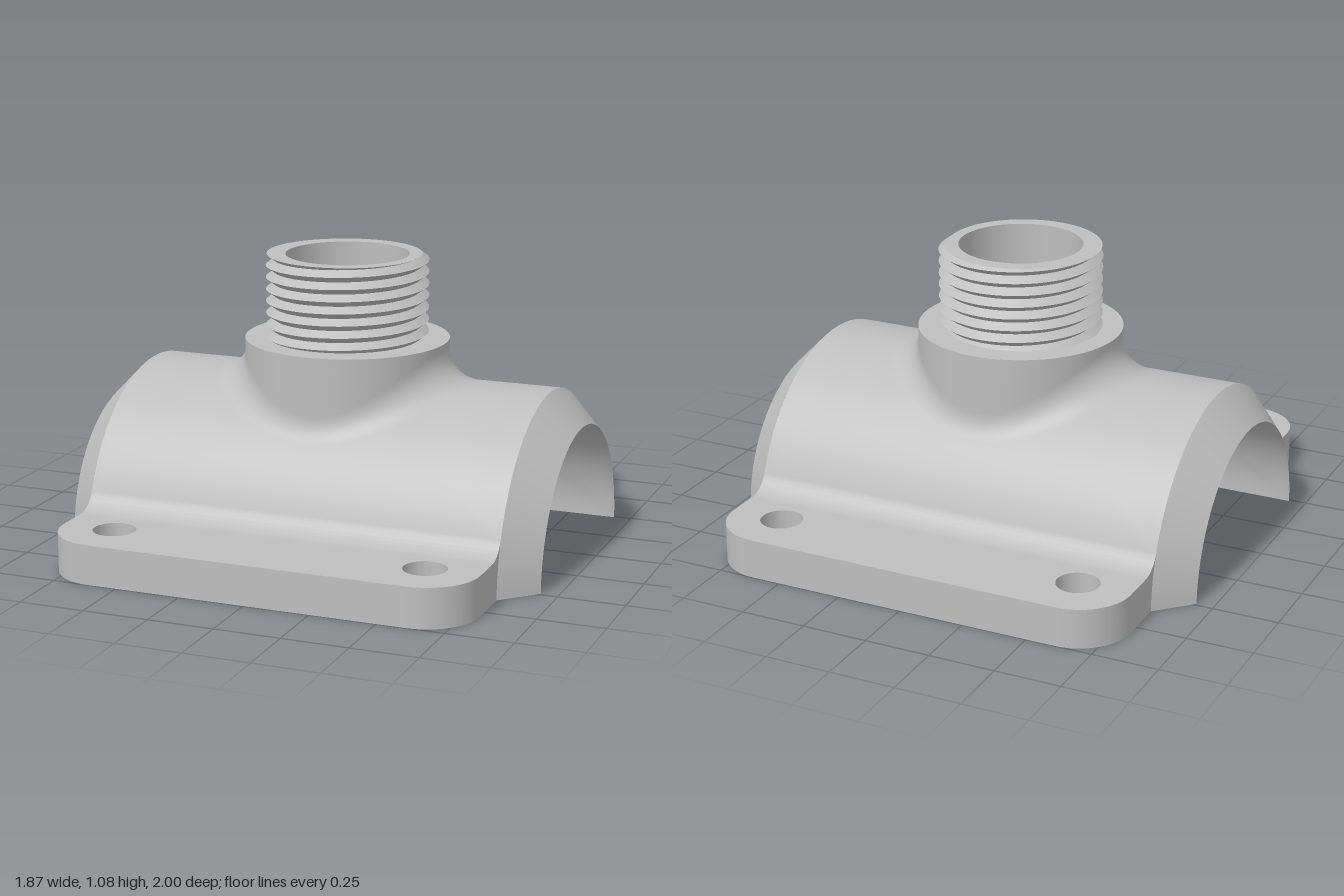
import * as THREE from 'three';
import { mergeVertices, toCreasedNormals } from 'three/addons/utils/BufferGeometryUtils.js';

const IN_R = 0.49, OUT_R = 0.615;      // half pipe radii
const PIPE_X = 0.81, END_X = 0.935;    // outer and inner half lengths
const BORE = 0.235, BOSS = 0.39, BOSS_TOP = 0.76, TOP = 1.08;
const BLEND = 0.125;                   // rolling-ball radius between boss and pipe
const FLANGE = 0.15, ROOT = 0.1;       // flange height and its root fillet
const SEG = 160;
const lerp = THREE.MathUtils.lerp;

// Surface from a rule; its front faces along du x dv
function grid(nu, nv, rule, creased = false) {
  const pos = [], idx = [];
  for (let j = 0; j <= nv; j++)
    for (let i = 0; i <= nu; i++) pos.push(...rule(i / nu, j / nv));
  for (let j = 0; j < nv; j++)
    for (let i = 0; i < nu; i++) {
      const a = j * (nu + 1) + i, d = a + nu + 1;
      idx.push(a, a + 1, d + 1, a, d + 1, d);
    }
  let g = new THREE.BufferGeometry();
  g.setAttribute('position', new THREE.Float32BufferAttribute(pos, 3));
  g.setIndex(idx);
  if (creased) return toCreasedNormals(g, 0.5);
  g = mergeVertices(g, 1e-5);
  g.computeVertexNormals();
  return g;
}

// Angle around the vertical axis, starting on a patch corner
const angle = u => Math.PI / 4 + u * Math.PI * 2;
const polar = (r, y, a) => [r * Math.cos(a), y, -r * Math.sin(a)];

// Point on a pipe, between a hole edge (t = 0) and the patch border (t = 1)
function pipePoint(R, halfX, halfTheta, a, hole, t) {
  const c = Math.cos(a), s = Math.sin(a), m = Math.max(Math.abs(c), Math.abs(s));
  const x = lerp(hole[0], halfX * c / m, t);
  const th = lerp(Math.asin(hole[2] / R), -halfTheta * s / m, t);
  return [x, R * Math.cos(th), R * Math.sin(th)];
}

// Ball centre of the boss fillet and its contact with the pipe
function ballCentre(a) {
  const z = (BOSS + BLEND) * Math.sin(a);
  return polar(BOSS + BLEND, Math.sqrt((OUT_R + BLEND) ** 2 - z * z), a);
}
function pipeContact(a) {
  const [x, y, z] = ballCentre(a), k = OUT_R / (OUT_R + BLEND);
  return [x, y * k, z * k];
}
function blendPoint(a, v) {
  const c = new THREE.Vector3(...ballCentre(a));
  const from = new THREE.Vector3(...pipeContact(a)).sub(c);
  const to = new THREE.Vector3(...polar(BOSS, c.y, a)).sub(c);
  return from.lerp(to, v).setLength(BLEND).add(c).toArray();
}

// Helical thread
const TURNS = 7, PITCH = (TOP - BOSS_TOP) / TURNS;
function threadRadius(y, a) {
  const f = (y - BOSS_TOP) / PITCH - a / (Math.PI * 2);
  const tri = Math.abs(2 * (f - Math.floor(f)) - 1);
  return lerp(0.31, 0.28, tri);
}
function threadPoint(u, v) {
  const a = angle(u), k = v * (TURNS + 2) - 2;
  const y = THREE.MathUtils.clamp(BOSS_TOP + PITCH * (k + a / (Math.PI * 2)), BOSS_TOP, TOP);
  return polar(threadRadius(y, a), y, a);
}

const boreEdge = a => polar(BORE, Math.sqrt(IN_R ** 2 - (BORE * Math.sin(a)) ** 2), a);

// Flange plate with rounded outer corners and two bolt holes
function flangeGeometry() {
  const r = 0.2, z0 = 0.596, s = new THREE.Shape();
  s.moveTo(-PIPE_X, z0);
  s.lineTo(PIPE_X, z0);
  s.lineTo(PIPE_X, 1 - r);
  s.absarc(PIPE_X - r, 1 - r, r, 0, Math.PI / 2, false);
  s.lineTo(-PIPE_X + r, 1);
  s.absarc(-PIPE_X + r, 1 - r, r, Math.PI / 2, Math.PI, false);
  s.closePath();
  for (const x of [-0.605, 0.605])
    s.holes.push(new THREE.Path().absarc(x, 0.795, 0.08, 0, Math.PI * 2, true));
  const g = new THREE.ExtrudeGeometry(s, { depth: FLANGE, bevelEnabled: false, curveSegments: 32 });
  g.rotateX(Math.PI / 2).translate(0, FLANGE, 0);
  return toCreasedNormals(g, 0.5);
}

// Concave strip blending flange top into the pipe
const rootY = FLANGE + ROOT, rootZ = Math.sqrt((OUT_R + ROOT) ** 2 - rootY ** 2);
function rootGeometry() {
  const s = new THREE.Shape();
  s.moveTo(0.58, FLANGE);
  s.lineTo(rootZ, FLANGE);
  s.absarc(rootZ, rootY, ROOT, -Math.PI / 2, Math.atan2(-rootY, -rootZ), true);
  s.closePath();
  const g = new THREE.ExtrudeGeometry(s, { depth: PIPE_X * 2, bevelEnabled: false, curveSegments: 16 });
  g.rotateY(-Math.PI / 2).translate(PIPE_X, 0, 0);
  return toCreasedNormals(g, 0.5);
}

export function createModel() {
  const model = new THREE.Group();
  model.name = 'pipeSaddle';
  const metal = new THREE.MeshStandardMaterial({ color: 0xbebebe });
  metal.name = 'grey metal';
  const add = (name, geometry, parent = model) => {
    const m = new THREE.Mesh(geometry, metal);
    m.name = name;
    parent.add(m);
  };

  // Half pipe, inside and out, each with an opening for the branch
  const outTheta = Math.atan2(rootZ, rootY);
  add('pipeOuter', grid(SEG, 20, (u, v) =>
    pipePoint(OUT_R, PIPE_X, outTheta, angle(u), pipeContact(angle(u)), 1 - v)));
  add('pipeInner', grid(SEG, 20, (u, v) =>
    pipePoint(IN_R, END_X, Math.PI / 2, angle(u), boreEdge(angle(u)), v)));

  // Branch: fillet, boss, ledge, thread, rim and bore
  add('bossFillet', grid(SEG, 14, (u, v) => blendPoint(angle(u), v)));
  add('boss', grid(SEG, 1, (u, v) =>
    polar(BOSS, lerp(ballCentre(angle(u))[1], BOSS_TOP, v), angle(u))));
  add('bossLedge', grid(SEG, 1, (u, v) => polar(lerp(BOSS, 0.275, v), BOSS_TOP, angle(u))));
  add('thread', grid(SEG, (TURNS + 2) * 2, threadPoint, true));
  add('rim', grid(SEG, 1, (u, v) =>
    polar(lerp(threadRadius(TOP, angle(u)), BORE, v), TOP, angle(u))));
  add('bore', grid(SEG, 1, (u, v) =>
    polar(BORE, lerp(TOP, boreEdge(angle(u))[1], v), angle(u))));

  // Parts repeated by a half turn
  const flange = flangeGeometry(), root = rootGeometry();
  const foot = grid(1, 1, (u, v) =>
    [(2 * u - 1) * lerp(END_X, PIPE_X, v), 0, lerp(IN_R, OUT_R, v)]);
  const chamfer = grid(96, 1, (u, v) => {
    const th = (u - 0.5) * Math.PI, r = lerp(OUT_R, IN_R, v);
    return [lerp(PIPE_X, END_X, v), r * Math.cos(th), r * Math.sin(th)];
  });
  for (const side of ['front', 'back']) {
    const half = new THREE.Group();
    half.name = side + 'Half';
    half.rotation.y = side === 'front' ? 0 : Math.PI;
    add('flange', flange, half);
    add('flangeFillet', root, half);
    add('pipeFoot', foot, half);
    add('endChamfer', chamfer, half);
    model.add(half);
  }
  return model;
}
